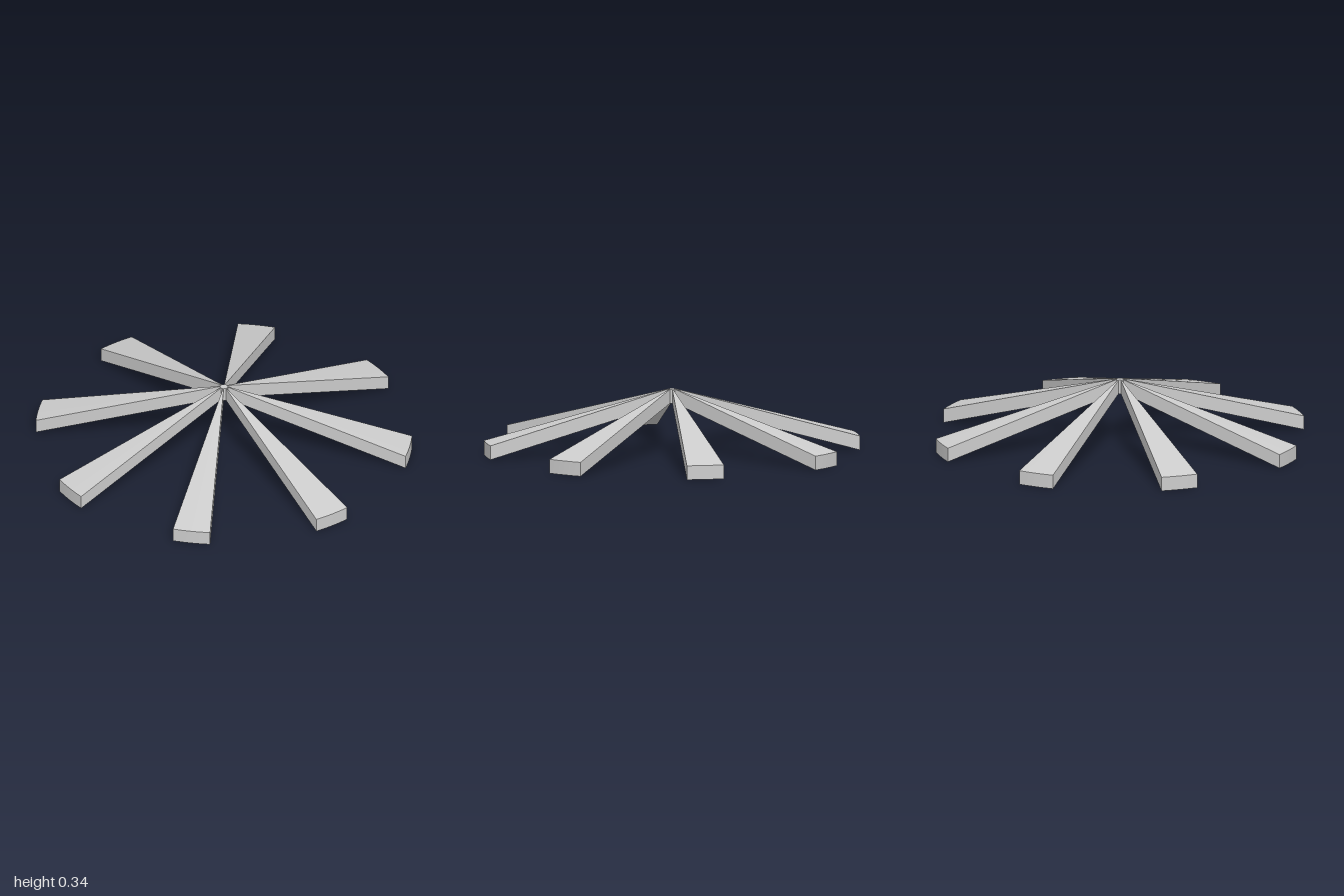
import * as THREE from 'three';

const INNER = 0.02, OUTER = 1, HALF_ANGLE = 0.1;
const RISE = 0.265, THICK = 0.075, SPOKES = 8;

// Wedge-shaped arm: a box bent into a sector that slopes down from hub to rim
function armGeometry() {
  const geo = new THREE.BoxGeometry(1, 1, 1, 4, 1, 1);
  const p = geo.attributes.position;
  for (let i = 0; i < p.count; i++) {
    const a = p.getX(i) * 2 * HALF_ANGLE;
    const t = p.getZ(i) + 0.5;
    const r = INNER + (OUTER - INNER) * t;
    const y = RISE * (1 - t) + THICK * (p.getY(i) + 0.5);
    p.setXYZ(i, r * Math.sin(a), y, r * Math.cos(a));
  }
  geo.computeVertexNormals();
  return geo;
}

export function createModel() {
  const group = new THREE.Group();
  group.name = 'spokedCone';
  const material = new THREE.MeshStandardMaterial({ color: 0xcccccc });

  // Eight arms around the centre
  const geo = armGeometry();
  for (let i = 0; i < SPOKES; i++) {
    const arm = new THREE.Mesh(geo, material);
    arm.name = `arm${i + 1}`;
    arm.rotation.y = (i / SPOKES) * Math.PI * 2;
    group.add(arm);
  }

  // Small hub joining the inner ends
  const hub = new THREE.Mesh(new THREE.CylinderGeometry(0.021, 0.021, THICK, 24), material);
  hub.name = 'hub';
  hub.position.y = RISE + THICK / 2;
  group.add(hub);

  return group;
}
